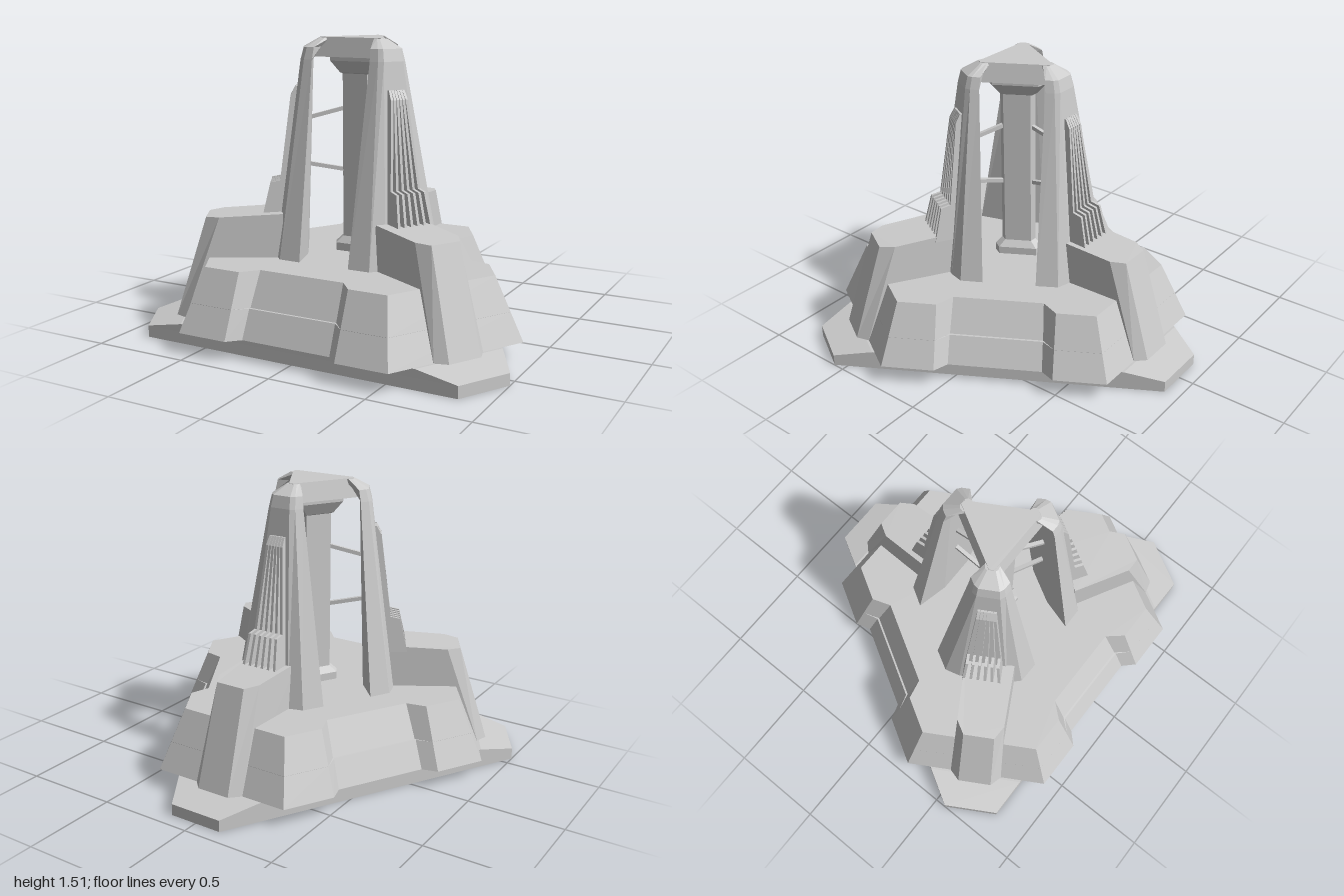
import * as THREE from 'three';

const THIRD = (Math.PI * 2) / 3;
const material = new THREE.MeshStandardMaterial({ color: 0xcccccc, flatShading: true });

// Skin a stack of rings (bottom to top, equal point counts) and cap both ends.
function loft(rings) {
  const area = THREE.ShapeUtils.area(rings[0].map((p) => new THREE.Vector2(p[0], -p[2])));
  if (area < 0) rings = rings.map((r) => [...r].reverse());
  const out = [];
  const n = rings[0].length;
  for (let k = 0; k < rings.length - 1; k++) {
    for (let i = 0; i < n; i++) {
      const j = (i + 1) % n;
      const [a, b, c, d] = [rings[k][i], rings[k][j], rings[k + 1][j], rings[k + 1][i]];
      out.push(...a, ...b, ...c, ...a, ...c, ...d);
    }
  }
  const cap = (ring, up) => {
    const flat = ring.map((p) => new THREE.Vector2(p[0], -p[2]));
    for (const [a, b, c] of THREE.ShapeUtils.triangulateShape(flat, [])) {
      out.push(...ring[a], ...(up ? ring[b] : ring[c]), ...(up ? ring[c] : ring[b]));
    }
  };
  cap(rings[0], false);
  cap(rings[rings.length - 1], true);
  const g = new THREE.BufferGeometry();
  g.setAttribute('position', new THREE.Float32BufferAttribute(out, 3));
  g.computeVertexNormals();
  return g;
}

// Repeat [x, z] points three times around the axis at height y.
function threefold(points, y) {
  const ring = [];
  for (let k = 0; k < 3; k++) {
    const c = Math.cos(k * THIRD), s = Math.sin(k * THIRD);
    for (const [x, z] of points) ring.push([x * c + z * s, y, -x * s + z * c]);
  }
  return ring;
}

// Triangle with cut corners: corner distance u, half the corner width hw.
const triRing = (u, hw, y) => threefold([[hw, -u], [-hw, -u]], y);

// Mirrored ring from [outward, sideways, height] points of one half.
function mirrorRing(half) {
  const right = half.map(([u, v, y]) => [v, y, -u]);
  const left = half.map(([u, v, y]) => [-v, y, -u]).reverse();
  return [...right, ...left];
}

function add(parent, name, geometry) {
  const mesh = new THREE.Mesh(geometry, material);
  mesh.name = name;
  parent.add(mesh);
  return mesh;
}

// One side of the bunker outline: pad corner, pad end, recess.
function bodyRing(y, corner, pad, end, recessX, recess) {
  return threefold([
    [-corner, pad], [-end, pad], [-recessX, recess],
    [recessX, recess], [end, pad], [corner, pad],
  ], y);
}

// Cooling fin: slim upper rib with a thicker stepped foot.
function finGeometry(s) {
  const shape = new THREE.Shape([
    [0.36, 0.6], [0.505, 0.6], [0.462, 0.78], [0.412, 0.79],
    [0.355, 1.22], [0.33, 1.265], [0.3, 1.265],
  ].map(([u, y]) => new THREE.Vector2(u, y)));
  const t = 0.014;
  const g = new THREE.ExtrudeGeometry(shape, { depth: t, bevelEnabled: false });
  g.rotateY(Math.PI / 2);
  // Fan the fins outward toward the bottom
  const p = g.attributes.position;
  for (let i = 0; i < p.count; i++) {
    const spread = THREE.MathUtils.mapLinear(p.getY(i), 0.6, 1.265, 0.095, 0.038);
    p.setX(i, p.getX(i) - t / 2 + s * spread);
  }
  g.computeVertexNormals();
  return g;
}

export function createModel() {
  const model = new THREE.Group();
  model.name = 'tower';

  // Base and bunker share one axis
  const base = new THREE.Group();
  base.name = 'base';
  base.position.z = 0.15;
  model.add(base);

  add(base, 'foundationSlab', loft([
    triRing(1.07, 0.144, 0), triRing(1.07, 0.144, 0.06), triRing(0.89, 0.248, 0.1),
  ]));

  add(base, 'bunkerBody', loft([
    bodyRing(0.1, 0.57, 0.77, 0.3, 0.24, 0.71),
    bodyRing(0.24, 0.538, 0.711, 0.3, 0.237, 0.65),
    bodyRing(0.241, 0.538, 0.711, 0.3, 0.237, 0.64),
    bodyRing(0.41, 0.5, 0.64, 0.3, 0.23, 0.56),
  ]));

  const buttress = loft([
    mirrorRing([[0.36, 0.15, 0.1], [0.88, 0.14, 0.1], [0.93, 0.09, 0.1]]),
    mirrorRing([[0.38, 0.13, 0.632], [0.7, 0.122, 0.615], [0.77, 0.08, 0.61]]),
  ]);

  // Upper tower
  const tower = new THREE.Group();
  tower.name = 'upperTower';
  tower.position.z = 0.115;
  model.add(tower);

  add(tower, 'column', loft([
    triRing(0.13, 0.025, 0.41), triRing(0.13, 0.025, 0.45), triRing(0.092, 0.02, 0.485),
    triRing(0.092, 0.02, 1.325), triRing(0.105, 0.025, 1.33),
    triRing(0.155, 0.035, 1.39), triRing(0.155, 0.035, 1.415),
  ]));
  add(tower, 'roof', loft([triRing(0.245, 0.01, 1.41), triRing(0.205, 0.012, 1.508)]));

  const leg = loft([
    mirrorRing([[0.275, 0.1, 0.4], [0.315, 0.27, 0.4], [0.415, 0.21, 0.4], [0.437, 0.13, 0.4]]),
    mirrorRing([[0.24, 0.05, 1.4], [0.245, 0.1, 1.4], [0.285, 0.078, 1.4], [0.302, 0.055, 1.4]]),
    mirrorRing([[0.2, 0.04, 1.46], [0.235, 0.09, 1.46], [0.27, 0.07, 1.46], [0.286, 0.05, 1.46]]),
    mirrorRing([[0.15, 0.02, 1.505], [0.18, 0.035, 1.505], [0.2, 0.03, 1.505], [0.208, 0.02, 1.505]]),
  ]);

  for (let k = 0; k < 3; k++) {
    add(base, 'buttress', buttress).rotation.y = k * THIRD;

    const arm = new THREE.Group();
    arm.name = 'legAssembly';
    arm.rotation.y = k * THIRD;
    tower.add(arm);
    add(arm, 'leg', leg);

    for (let i = 0; i < 6; i++) add(arm, 'coolingFin', finGeometry(-1 + i * 0.4));

    // Struts tying the column to the leg
    for (const [y0, y1] of [[0.832, 0.865], [1.15, 1.1]]) {
      const strut = add(arm, 'strut', new THREE.BoxGeometry(0.02, 0.02, 0.21));
      strut.position.set(0, (y0 + y1) / 2, -0.175);
      strut.rotation.x = Math.atan2(y1 - y0, 0.19);
    }
  }
  return model;
}
